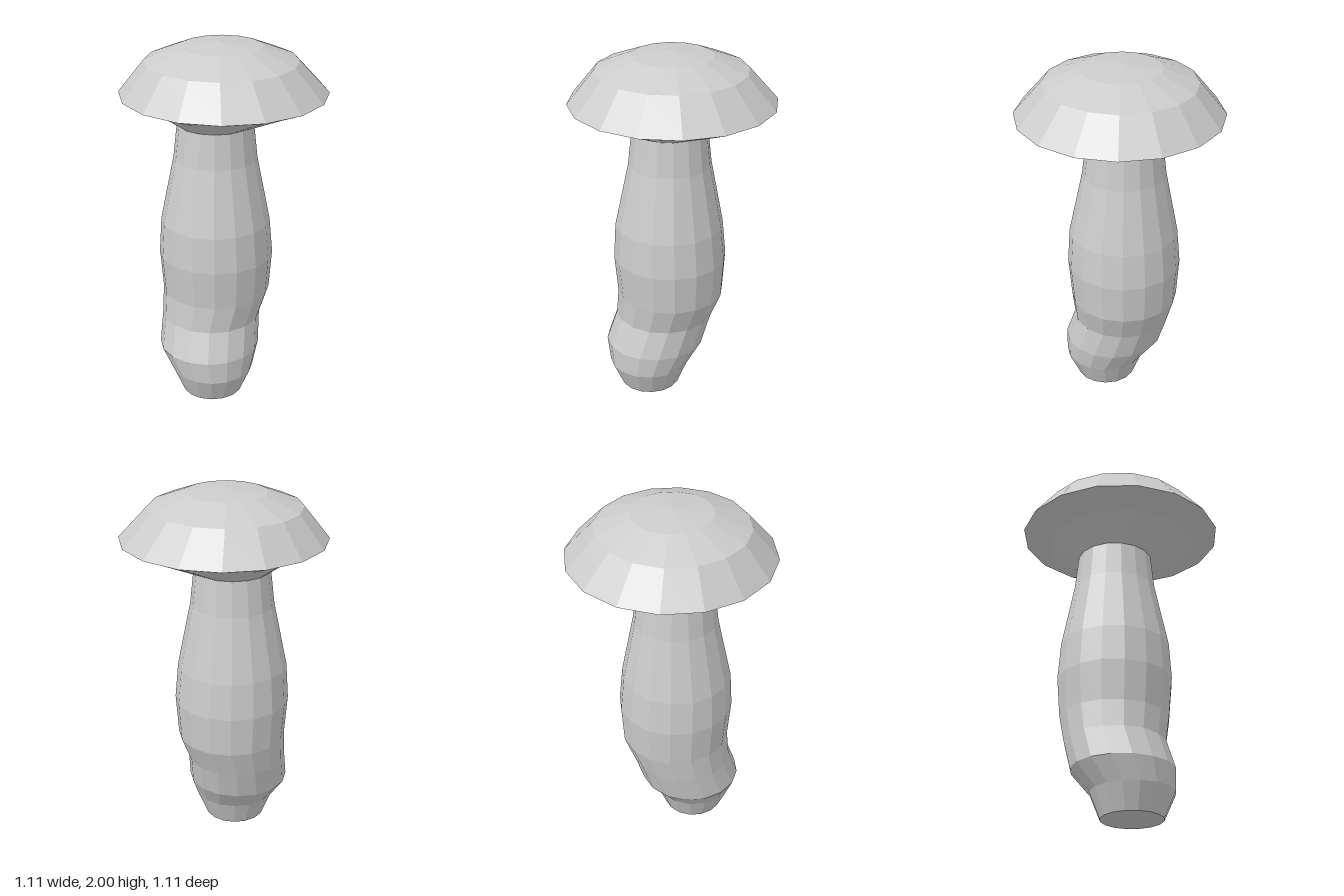
import * as THREE from 'three';

const SIDES = 16;
const PHASE = THREE.MathUtils.degToRad(7.2);

// Lofts 16-sided rings [y, radius, centreX, centreZ], listed from bottom to top.
// A ring of radius 0 closes an end to a point.
function loft(name, rings) {
  const positions = [];
  const corner = ([y, r, cx, cz], i) => {
    const a = PHASE + ((i % SIDES) / SIDES) * Math.PI * 2;
    return [cx + r * Math.cos(a), y, cz + r * Math.sin(a)];
  };
  for (let k = 0; k < rings.length - 1; k++) {
    const low = rings[k], high = rings[k + 1];
    for (let i = 0; i < SIDES; i++) {
      const a = corner(low, i), b = corner(low, i + 1);
      const c = corner(high, i + 1), d = corner(high, i);
      if (high[1] > 0) positions.push(...a, ...d, ...c);
      if (low[1] > 0) positions.push(...a, ...c, ...b);
    }
  }
  const geometry = new THREE.BufferGeometry();
  geometry.setAttribute('position', new THREE.Float32BufferAttribute(positions, 3));
  geometry.computeVertexNormals();
  const mesh = new THREE.Mesh(
    geometry,
    new THREE.MeshStandardMaterial({ color: 0xcccccc, flatShading: true })
  );
  mesh.name = name;
  return mesh;
}

export function createModel() {
  const group = new THREE.Group();
  group.name = 'mushroom';

  // Bent, bulging stem with a flat foot
  const stemTop = [1.555, 0.207, -0.039, 0.023];
  group.add(loft('stem', [
    [0, 0, 0.022, 0.132],
    [0, 0.167, 0.022, 0.132],
    [0.14, 0.226, 0.025, 0.134],
    [0.265, 0.278, -0.019, 0.109],
    [0.43, 0.274, -0.047, 0.058],
    [0.58, 0.298, -0.039, 0.021],
    [0.8, 0.315, -0.038, 0.023],
    [1.0, 0.3, -0.038, 0.027],
    [1.36, 0.228, -0.04, 0.023],
    stemTop,
  ]));

  // Cap: sloping underside from the stem to the rim, then the low dome
  group.add(loft('cap', [
    stemTop,
    [1.667, 0.415, 0.005, -0.007],
    [1.727, 0.56, 0, 0],
    [1.9, 0.411, -0.009, 0.007],
    [1.977, 0.22, -0.012, 0.005],
    [2.0, 0, -0.01, 0.005],
  ]));

  return group;
}
